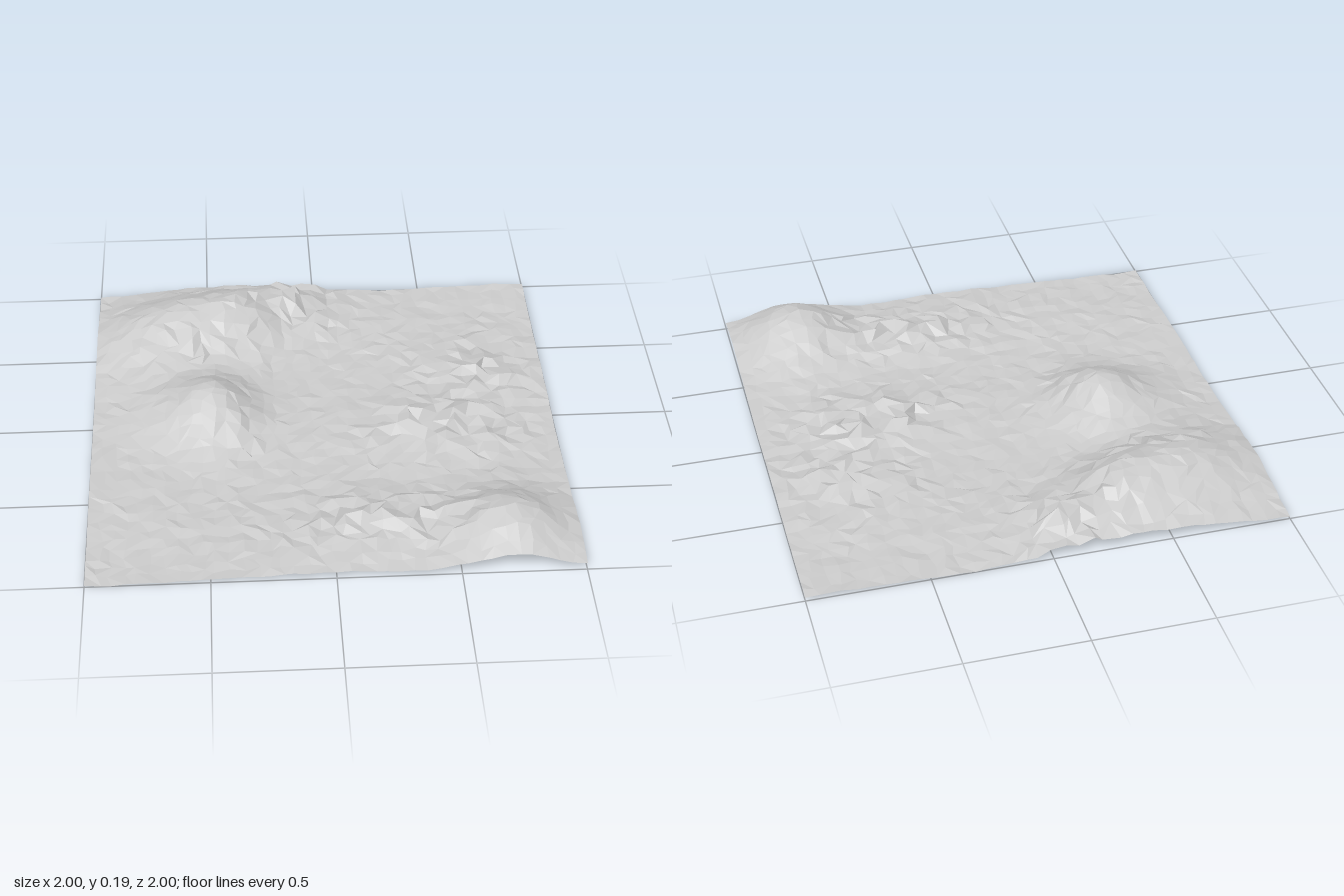
import * as THREE from 'three';

const SEGMENTS = 38;

// Repeatable random value in -1..1
function seededRandom(seed) {
  return () => {
    seed = (seed + 0x6d2b79f5) | 0;
    let t = Math.imul(seed ^ (seed >>> 15), 1 | seed);
    t = (t + Math.imul(t ^ (t >>> 7), 61 | t)) ^ t;
    return ((t ^ (t >>> 14)) >>> 0) / 2147483648 - 1;
  };
}

const bell = (x, z, cx, cz, rx, rz, turn = 0) => {
  const c = Math.cos(turn), s = Math.sin(turn);
  const dx = x - cx, dz = z - cz;
  const u = (dx * c + dz * s) / rx, v = (dz * c - dx * s) / rz;
  return Math.exp(-0.5 * (u * u + v * v));
};

// Smooth rounded hills: centre x, centre z, spread along, spread across, turn, height
const HILLS = [
  [0.71, 0.8, 0.16, 0.16, 0, 0.165],        // front hill
  [-0.45, -0.03, 0.11, 0.15, 0, 0.115],     // middle hill, steep on the east
  [-0.6, -0.06, 0.16, 0.15, 0, 0.075],      // middle hill, gentle on the west
  [-0.62, -0.66, 0.24, 0.18, -0.3, 0.155],  // back hill
  [-0.34, -0.7, 0.11, 0.13, 0, 0.085],      // back hill shoulder
  [0.48, 0.08, 0.2, 0.13, 0.2, 0.05],       // low rises beneath the rocks
  [0.2, 0.7, 0.22, 0.13, 0, 0.06],
  [-0.1, -0.86, 0.13, 0.13, 0, 0.065],
  [0.7, -0.3, 0.16, 0.14, 0, 0.025],
  [0.1, 1, 0.3, 0.15, 0, 0.012],            // raised front rim
];

// Broken rocky patches: centre x, centre z, spread x, spread z, strength
const ROCKS = [
  [0.5, 0.08, 0.2, 0.1, 1],
  [0.2, 0.7, 0.24, 0.09, 1],
  [-0.12, -0.84, 0.14, 0.14, 1],
  [0.7, -0.32, 0.16, 0.16, 0.6],
  [-0.55, -0.48, 0.25, 0.06, 0.35],
  [-0.36, 0.08, 0.05, 0.15, 0.3],
];

function groundHeight(x, z) {
  let y = 0.018;
  for (const [cx, cz, rx, rz, turn, h] of HILLS) y += h * bell(x, z, cx, cz, rx, rz, turn);
  // gentle rolling of the plain
  y += 0.005 * Math.sin(5 * x + 3 * z) + 0.004 * Math.sin(7 * z - 4 * x + 1);
  return y;
}

function rockiness(x, z) {
  let m = 0;
  for (const [cx, cz, rx, rz, s] of ROCKS) m += s * bell(x, z, cx, cz, rx, rz);
  return Math.min(m, 1);
}

export function createModel() {
  const group = new THREE.Group();
  group.name = 'landscape';
  const random = seededRandom(17);

  // Sheet of ground, bent into hills and roughened vertex by vertex
  const geometry = new THREE.PlaneGeometry(2, 2, SEGMENTS, SEGMENTS);
  geometry.rotateX(-Math.PI / 2);
  const pos = geometry.attributes.position;
  const cell = 2 / SEGMENTS;
  for (let i = 0; i < pos.count; i++) {
    let x = pos.getX(i), z = pos.getZ(i);
    const rock = rockiness(x, z);
    const shift = cell * (0.3 + 0.12 * rock);
    const jx = random() * shift, jz = random() * shift, jy = random();
    // the border stays straight
    if (Math.abs(x) < 0.999) x += jx;
    if (Math.abs(z) < 0.999) z += jz;
    pos.setXYZ(i, x, groundHeight(x, z) + jy * (0.005 + 0.026 * rock), z);
  }

  // Split the squares along either diagonal for an irregular surface
  const index = [];
  const row = SEGMENTS + 1;
  for (let j = 0; j < SEGMENTS; j++) {
    for (let i = 0; i < SEGMENTS; i++) {
      const a = j * row + i, b = a + 1, c = a + row, d = c + 1;
      index.push(...(random() > 0 ? [a, c, b, b, c, d] : [a, c, d, a, d, b]));
    }
  }
  geometry.setIndex(index);

  // Rest the lowest point on the floor
  geometry.computeBoundingBox();
  geometry.translate(0, -geometry.boundingBox.min.y, 0);
  geometry.computeVertexNormals();

  const terrain = new THREE.Mesh(geometry, new THREE.MeshStandardMaterial({
    color: 0xcccccc, flatShading: true, side: THREE.DoubleSide,
  }));
  terrain.name = 'terrain';
  group.add(terrain);
  return group;
}
